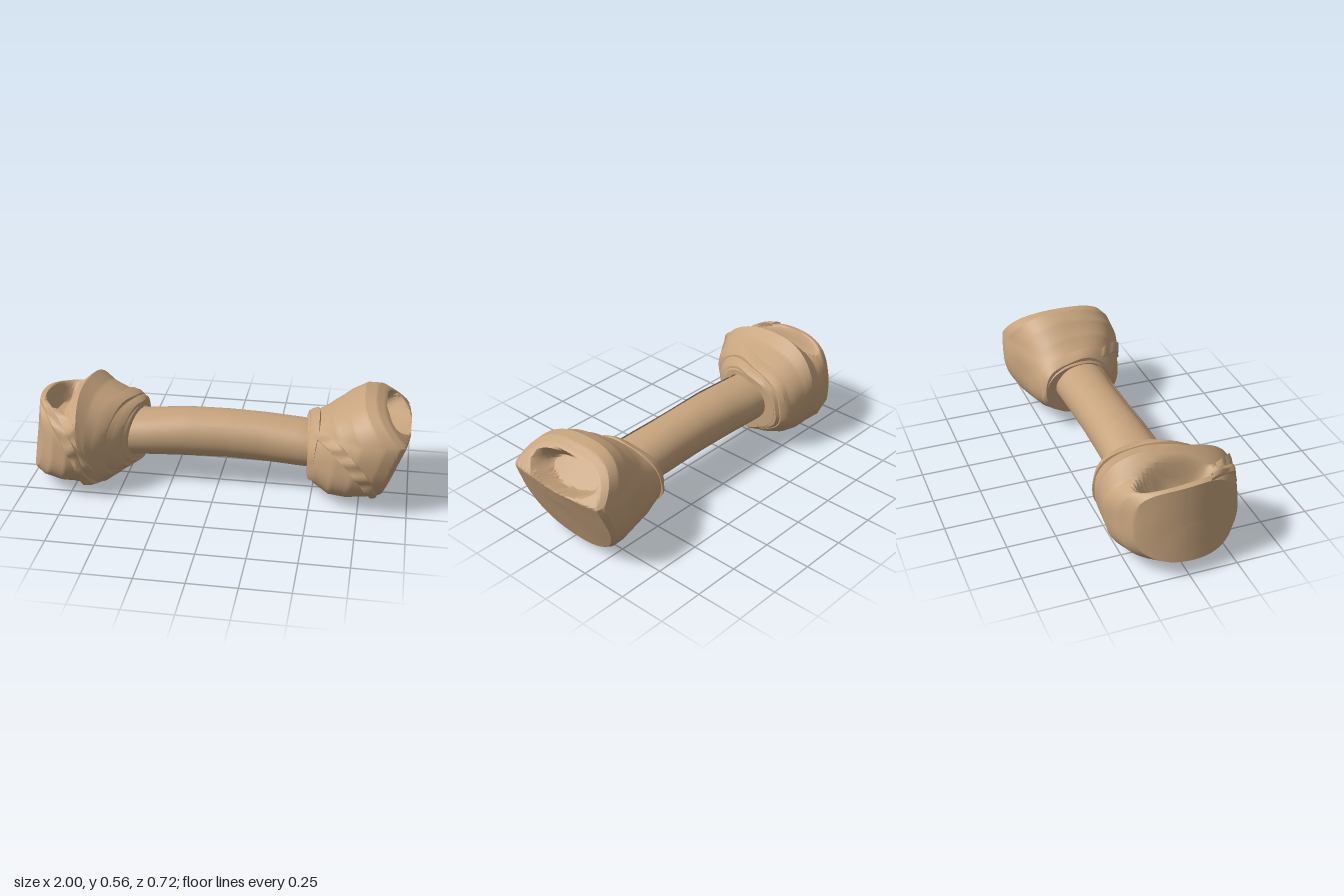
import * as THREE from 'three';
import { toCreasedNormals } from 'three/addons/utils/BufferGeometryUtils.js';

const TAU = Math.PI * 2;
const { lerp, clamp, smoothstep } = THREE.MathUtils;

// Grid of points fn(u, v) with u and v in 0..1
function grid(nu, nv, fn, flip = false, crease = 0.55) {
  const pos = [], idx = [];
  for (let i = 0; i <= nu; i++)
    for (let j = 0; j <= nv; j++) pos.push(...fn(i / nu, j / nv));
  for (let i = 0; i < nu; i++)
    for (let j = 0; j < nv; j++) {
      const a = i * (nv + 1) + j, b = a + nv + 1;
      if (flip) idx.push(a, a + 1, b, b, a + 1, b + 1);
      else idx.push(a, b, a + 1, b, b + 1, a + 1);
    }
  const g = new THREE.BufferGeometry();
  g.setAttribute('position', new THREE.Float32BufferAttribute(pos, 3));
  g.setIndex(idx);
  return toCreasedNormals(g, crease);
}

// Blend between neighbouring rows of [t, yLow, yHigh, zBack, zFront]
function section(rows, u) {
  const f = clamp(u, 0, 1) * (rows.length - 1);
  const i = Math.min(Math.floor(f), rows.length - 2);
  return rows[i].map((v, k) => lerp(v, rows[i + 1][k], f - i));
}

// Point on a rounded-square outline; angle 0 faces +z, a quarter turn faces +y
function outline([, y0, y1, z0, z1], a, n, grow = 0) {
  const c = Math.cos(a), s = Math.sin(a);
  const k = Math.pow(Math.abs(c) ** n + Math.abs(s) ** n, -1 / n);
  return [(y0 + y1) / 2 + s * k * ((y1 - y0) / 2 + grow),
    (z0 + z1) / 2 + c * k * ((z1 - z0) / 2 + grow)];
}

// Shallow creases in the hide
const wrinkle = (x, y, z) => 0.006 * Math.sin(13 * x + 9 * y) * Math.sin(11 * z - 8 * y + 1);

// Knot skin: sections run from the neck surface to the end surface
function knotSurface({ rows, neck, end, dent }) {
  return (u, a, grow = 0, cap = 1) => {
    const row = section(rows, u);
    let [y, z] = outline(row, a, lerp(2.1, 2.9, u), grow);
    y = lerp((row[1] + row[2]) / 2, y, cap);
    z = lerp((row[3] + row[4]) / 2, z, cap);
    const x = lerp(neck(y, z), end(y, z), row[0]);
    const w = wrinkle(x, y, z);
    return dent(x, y + w * Math.sin(a), z + w * Math.cos(a), u);
  };
}

// Knot body: 70% of the grid is the side, the rest closes the end
function knotGeometry(surf, flip) {
  return grid(80, 96, (u, v) => {
    const cap = u <= 0.7 ? 1 : (1 - u) / 0.3;
    return surf(Math.min(u / 0.7, 1), v * TAU, 0, cap);
  }, flip);
}

// Raised strip of hide that follows the knot; path(s) gives [u, angle]
function strapGeometry(surf, path, width, lift, flip) {
  const profile = [[-1, -0.006], [-0.92, lift], [0, lift * 1.15], [0.9, lift * 0.8], [1, -0.006]];
  return grid(profile.length - 1, 72, (p, s) => {
    const [k, h] = profile[Math.round(p * (profile.length - 1))];
    const [u, a] = path(s);
    return surf(clamp(u + k * width, 0.02, 1), a, h + 0.004 * Math.sin(s * 37));
  }, flip);
}

const rightKnot = {
  rows: [
    [0, 0.18, 0.38, -0.18, 0.1], [0, 0.12, 0.4, -0.23, 0.14], [0.08, 0.09, 0.43, -0.25, 0.18],
    [0.3, 0.05, 0.5, -0.28, 0.25], [0.55, 0.045, 0.555, -0.31, 0.285],
    [0.8, 0.05, 0.588, -0.345, 0.285], [0.95, 0.06, 0.582, -0.35, 0.27], [1, 0.07, 0.56, -0.33, 0.25],
  ],
  neck: (y, z) => 0.455 + 0.1 * (z + 0.1),
  end: (y, z) => (y < 0.42 ? 0.86 + 0.4 * (y - 0.07) : 1 - 1.05 * (y - 0.42)) - 0.3 * (z + 0.04) ** 2,
  // open pocket above the flat end panel
  dent: (x, y, z, u) => {
    const r = Math.hypot((y - 0.48) / 0.065, (z + 0.05) / 0.21);
    const d = u >= 1 ? 0.1 * (1 - smoothstep(r, 0.75, 1.05)) : 0;
    return [x - d, y - d * 0.5, z];
  },
};

const leftKnot = {
  rows: [
    [0, 0.17, 0.4, -0.18, 0.12], [0, 0.12, 0.425, -0.24, 0.16], [0.1, 0.09, 0.455, -0.28, 0.22],
    [0.25, 0.035, 0.49, -0.3, 0.29], [0.4, 0.025, 0.52, -0.31, 0.325],
    [0.54, 0.04, 0.565, -0.325, 0.34], [0.7, 0.055, 0.49, -0.33, 0.345],
    [0.9, 0.08, 0.5, -0.3, 0.325], [1, 0.11, 0.49, -0.25, 0.27],
  ],
  neck: (y, z) => -0.42 - 0.25 * Math.max(0, z + 0.05),
  end: (y, z) => -1 + 0.14 * (y - 0.1) + 1.1 * z * z,
  // trough between the end flap and the folded top
  dent: (x, y, z) => {
    const r = Math.hypot((x + 0.83) / 0.085, (z + 0.01) / 0.21);
    const d = y > 0.36 ? 0.12 * (1 - smoothstep(r, 0.55, 1.05)) : 0;
    return [x, y - d, z];
  },
};

export function createModel() {
  const hide = new THREE.MeshStandardMaterial({ color: 0xc6a37d, side: THREE.DoubleSide });
  hide.name = 'tan hide';
  const bone = new THREE.Group();
  bone.name = 'knottedBone';
  const add = (name, geometry) => {
    const mesh = new THREE.Mesh(geometry, hide);
    mesh.name = name;
    bone.add(mesh);
  };

  // Rolled shaft with an overlapping seam
  const shaftRows = [
    [-0.56, 0.16, 0.38, -0.17, 0.13], [-0.36, 0.167, 0.4, -0.175, 0.122],
    [-0.16, 0.172, 0.418, -0.172, 0.11], [0.04, 0.175, 0.42, -0.17, 0.1],
    [0.24, 0.17, 0.414, -0.17, 0.1], [0.44, 0.163, 0.4, -0.172, 0.115], [0.56, 0.16, 0.38, -0.17, 0.12],
  ];
  add('shaft', grid(36, 64, (u, v) => {
    const row = section(shaftRows, u);
    const a = 0.25 + 0.12 * Math.sin(u * 9) + v * TAU * 1.08;
    const [y, z] = outline(row, a, 2.1, 0.008 * v - 0.002);
    return [row[0], y, z];
  }));

  // Knots at both ends
  const right = knotSurface(rightKnot), left = knotSurface(leftKnot);
  add('rightKnot', knotGeometry(right, false));
  add('leftKnot', knotGeometry(left, true));

  // Straps wound diagonally round the left knot
  add('leftDiagonalStrap', strapGeometry(left,
    s => [lerp(0.95, 0.28, s), lerp(1.15, -1.5, s)], 0.06, 0.014, true));
  add('leftUnderStrap', strapGeometry(left,
    s => [lerp(0.82, 0.2, s), lerp(1, -1.2, s)], 0.05, 0.01, true));

  // Collars where the shaft enters the knots
  add('leftOuterCollar', strapGeometry(left,
    s => [0.3 + 0.06 * Math.cos(s * TAU), s * TAU], 0.06, 0.012, true));
  add('leftInnerCollar', strapGeometry(left,
    s => [0.17 + 0.04 * Math.cos(s * TAU), s * TAU], 0.05, 0.012, true));
  add('rightCollar', strapGeometry(right,
    s => [0.2 + 0.05 * Math.sin(s * TAU), s * TAU], 0.07, 0.012, false));

  // Fold line across the front of the right knot
  add('rightDiagonalFold', strapGeometry(right,
    s => [lerp(0.28, 0.92, s), lerp(0.9, -1.1, s)], 0.05, 0.008, false));

  return bone;
}
